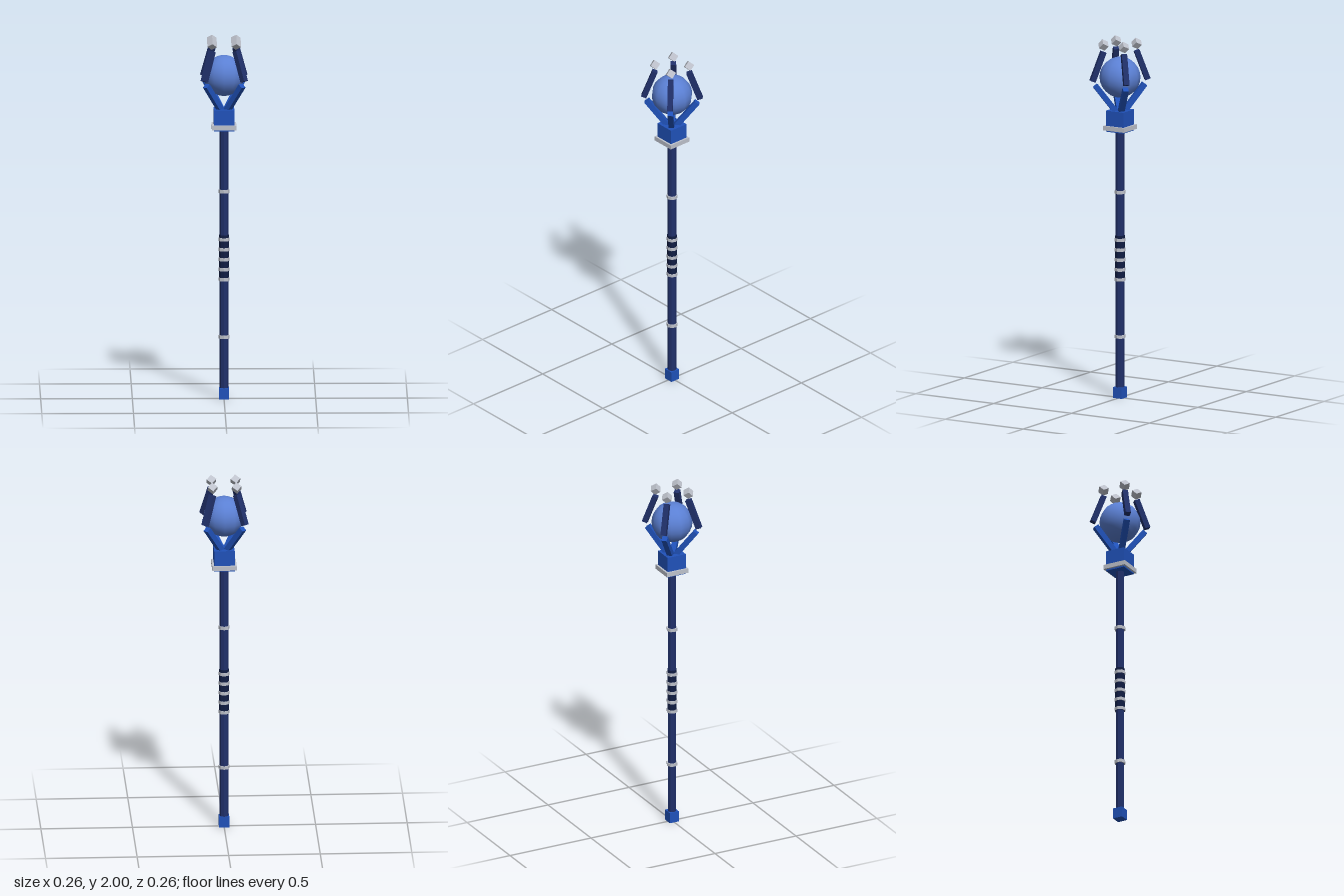
import * as THREE from 'three';

const flat = (name, color) => {
  const m = new THREE.MeshStandardMaterial({ color });
  m.name = name;
  return m;
};

export function createModel() {
  const navy = flat('navy', 0x20306a);
  const darkNavy = flat('dark navy', 0x101d44);
  const blue = flat('royal blue', 0x2052ba);
  const orbBlue = flat('orb blue', 0x5b80d4);
  const silver = flat('silver', 0xbec2cc);

  const staff = new THREE.Group();
  staff.name = 'staff';

  const add = (name, geometry, material, x, y, z, parent = staff) => {
    const mesh = new THREE.Mesh(geometry, material);
    mesh.name = name;
    mesh.position.set(x, y, z);
    parent.add(mesh);
    return mesh;
  };

  // Eight-sided rod with faceted sides
  const rod = (radius, height) => {
    const g = new THREE.CylinderGeometry(radius, radius, height, 8).toNonIndexed();
    g.computeVertexNormals();
    return g;
  };

  // Pole, grip and end block
  add('pole', rod(0.024, 1.46), navy, 0, 0.77, 0);
  add('grip', rod(0.027, 0.255), darkNavy, 0, 0.777, 0);
  add('pommel', new THREE.BoxGeometry(0.056, 0.06, 0.056), blue, 0, 0.03, 0);

  // Silver bands along the pole and grip
  for (const y of [0.342, 0.66, 0.715, 0.77, 0.825, 0.88, 1.146]) {
    add('band', rod(0.03, 0.018), silver, 0, y, 0);
  }

  // Head block, collar and orb
  add('headBlock', new THREE.BoxGeometry(0.112, 0.117, 0.112), blue, 0, 1.543, 0);
  add('collar', new THREE.BoxGeometry(0.134, 0.025, 0.134), silver, 0, 1.505, 0);
  add('orb', new THREE.SphereGeometry(0.112, 12, 12), orbBlue, 0, 1.785, 0);

  // Square bar between two points given as [radius, height] in the claw's plane
  const bar = (name, from, to, material, parent) => {
    const dx = to[0] - from[0], dy = to[1] - from[1];
    const geometry = new THREE.BoxGeometry(0.03, Math.hypot(dx, dy), 0.03);
    const mesh = add(name, geometry, material,
      (from[0] + to[0]) / 2, (from[1] + to[1]) / 2, 0, parent);
    mesh.rotation.z = -Math.atan2(dx, dy);
  };

  // Four claws on the diagonals, each with a floating tilted cube above it
  for (let i = 0; i < 4; i++) {
    const angle = Math.PI / 4 + i * Math.PI / 2;
    const claw = new THREE.Group();
    claw.name = 'claw';
    claw.rotation.y = angle;
    staff.add(claw);
    bar('lowerProng', [0.016, 1.585], [0.138, 1.743], blue, claw);
    bar('upperProng', [0.154, 1.768], [0.093, 1.929], navy, claw);

    const tip = add('tipCube', new THREE.BoxGeometry(0.0375, 0.0375, 0.0375), silver,
      0.093 * Math.cos(angle), 1.968, -0.093 * Math.sin(angle));
    tip.rotation.set(-Math.PI / 4, 0.87, 0);
  }

  return staff;
}
